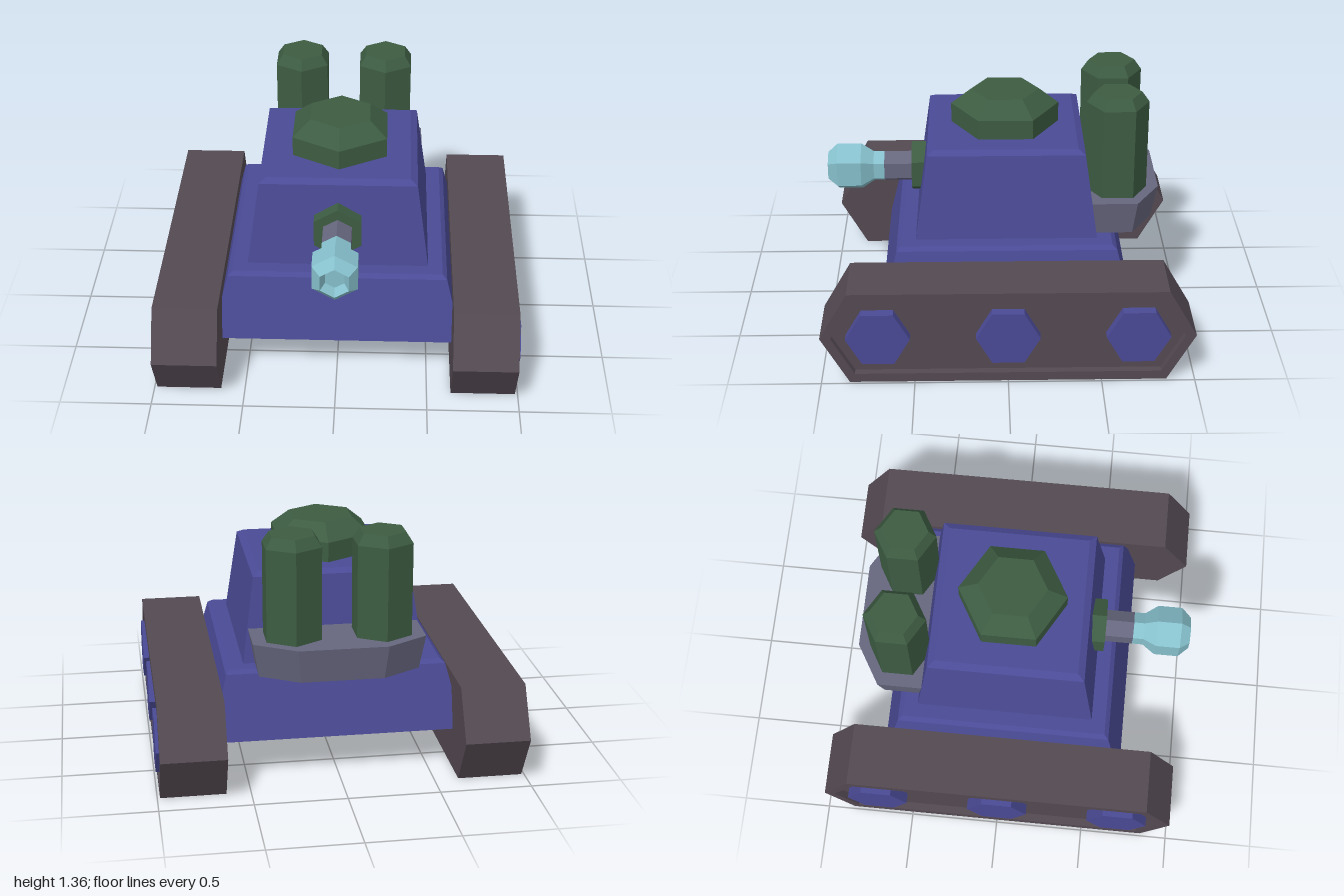
import * as THREE from 'three';

const paint = (name, color) => {
  const m = new THREE.MeshStandardMaterial({ color, flatShading: true });
  m.name = name;
  return m;
};

export function createModel() {
  const blue = paint('armour blue', 0x4a4a96);
  const dark = paint('track brown', 0x544a52);
  const green = paint('dark green', 0x3d5c42);
  const grey = paint('steel grey', 0x66667e);
  const cyan = paint('pale cyan', 0x86c0cc);

  const model = new THREE.Group();
  model.name = 'tank';

  const add = (parent, name, geometry, material, x = 0, y = 0, z = 0) => {
    const mesh = new THREE.Mesh(geometry, material);
    mesh.name = name;
    mesh.position.set(x, y, z);
    parent.add(mesh);
    return mesh;
  };

  // Faceted solid from [radius, height] pairs, listed bottom to top
  const turned = (profile, sides = 6) =>
    new THREE.LatheGeometry(profile.map(([r, y]) => new THREE.Vector2(r, y)), sides);

  // Square tapered block from [half width, height] pairs
  const block = (profile) =>
    turned(profile.map(([h, y]) => [h * Math.SQRT2, y]), 4).rotateY(Math.PI / 4);

  // Hull and turret
  add(model, 'hull', block([[0, 0.225], [0.69, 0.225], [0.6, 0.58], [0.575, 0.6], [0, 0.6]]), blue);
  add(model, 'turret', block([[0.497, 0.595], [0.43, 1.068], [0.392, 1.09], [0, 1.09]]), blue);
  add(model, 'hatch', turned([[0.3, 1.08], [0.3, 1.2], [0.19, 1.285], [0, 1.285]]), green);

  // Gun, pointing forward along +z
  const gun = new THREE.Group();
  gun.name = 'gun';
  gun.position.y = 0.818;
  model.add(gun);
  const forward = (profile) => turned(profile).rotateX(Math.PI / 2);
  add(gun, 'gunMount', forward([[0, 0.445], [0.149, 0.445], [0.149, 0.526], [0, 0.526]]), green);
  add(gun, 'gunBarrel', forward([[0.09, 0.52], [0.09, 0.682]]), grey);
  add(gun, 'muzzle', forward([[0.09, 0.682], [0.09, 0.742], [0.139, 0.812], [0.139, 0.945],
    [0.087, 1], [0.058, 0.95], [0, 0.95]]), cyan);

  // Rear shelf, narrowing toward its underside
  const shelf = new THREE.Shape([[-0.465, 0.47], [0.465, 0.47], [0.465, 0.717], [0.24, 0.85],
    [-0.24, 0.85], [-0.465, 0.717]].map(([x, y]) => new THREE.Vector2(x, y)));
  const shelfGeometry = new THREE.ExtrudeGeometry(shelf, { depth: 0.19, bevelEnabled: false })
    .rotateX(-Math.PI / 2);
  const p = shelfGeometry.attributes.position;
  for (let i = 0; i < p.count; i++) {
    if (p.getY(i) < 0.1) {
      p.setX(i, p.getX(i) * 0.93);
      p.setZ(i, -0.47 + (p.getZ(i) + 0.47) * 0.91);
    }
  }
  add(model, 'rearShelf', shelfGeometry, grey, 0, 0.6, 0);

  // Upright canisters on the shelf
  for (const [name, x] of [['leftCanister', 0.242], ['rightCanister', -0.242]]) {
    add(model, name, turned([[0.171, 0.77], [0.171, 1.302], [0.13, 1.36], [0, 1.36]]), green, x, 0, -0.612);
  }

  // Track outline: long hexagon, tip and shoulder measured along z
  const outline = (tip, shoulder, low, high) => [[tip, 0.268], [shoulder, high], [-shoulder, high],
    [-tip, 0.268], [-shoulder, low], [shoulder, low]].map(([x, y]) => new THREE.Vector2(x, y));
  const sideways = (shape, depth) =>
    new THREE.ExtrudeGeometry(shape, { depth, bevelEnabled: false }).rotateY(Math.PI / 2);

  // Tracks: body, raised outer rim and three road wheels on each side
  for (const [name, turn] of [['leftTrack', 0], ['rightTrack', Math.PI]]) {
    const track = new THREE.Group();
    track.name = name;
    track.rotation.y = turn;
    model.add(track);

    const full = outline(1, 0.848, 0, 0.533);
    add(track, 'trackBody', sideways(new THREE.Shape(full), 0.31), dark, 0.632);
    const rim = new THREE.Shape(full);
    rim.holes.push(new THREE.Path(outline(0.943, 0.82, 0.05, 0.484)));
    add(track, 'trackRim', sideways(rim, 0.043), dark, 0.942);

    for (const z of [-0.692, 0, 0.692]) {
      const wheel = new THREE.CylinderGeometry(0.171, 0.171, 0.07, 6).rotateZ(-Math.PI / 2);
      add(track, 'roadWheel', wheel, blue, 0.965, 0.268, z);
    }
  }

  return model;
}
